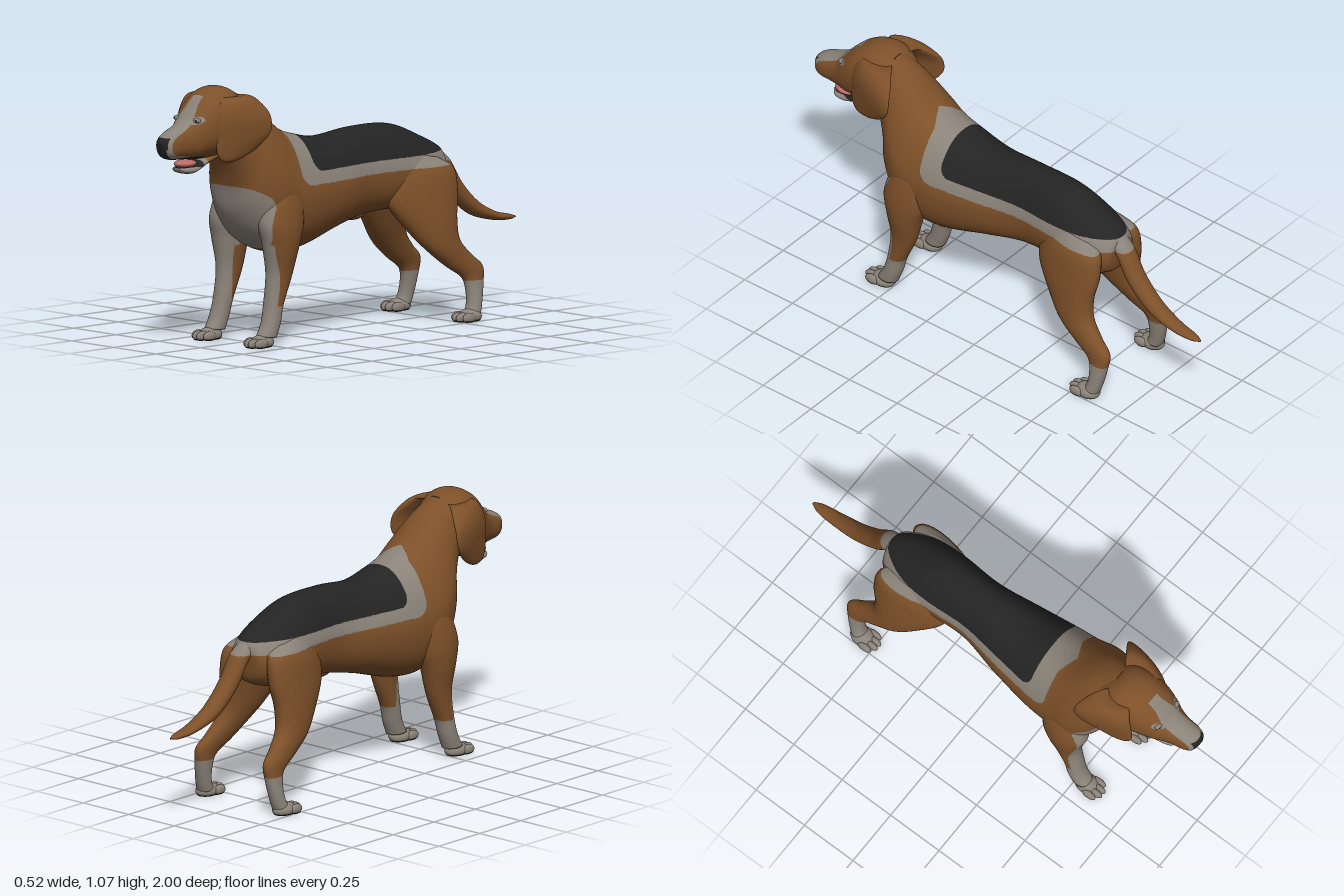
import * as THREE from 'three';

const material = (name, color) => {
  const m = new THREE.MeshStandardMaterial({ color });
  m.name = name;
  return m;
};
const tan = material('tan fur', 0x7d5029);
const pale = material('pale fur', 0x8b8379);
const black = material('black', 0x242424);
const pink = material('tongue pink', 0xb96a68);
const FUR = [tan, pale, black];
const TAN = 0, PALE = 1, BLACK = 2;

// Fur pattern of body, legs and tail
function coat(x, y, z) {
  const ax = Math.abs(x);
  if (y < 0.011) return BLACK; // soles
  if (y < 0.168) return PALE; // socks
  // saddle with rounded front corners, narrowing towards the tail
  const r = (z + 0.44) / 0.14;
  const half = z > -0.44 ? 1 : 0.118 * Math.sqrt(Math.max(0, 1 - r * r));
  if (Math.hypot(Math.max(0, z - 0.205), Math.max(0, 0.745 - y)) < 0.05 && ax < half) return BLACK;
  // pale border around the saddle, with a point on the nape
  const point = 0.04 * Math.max(0, 1 - ax / 0.08);
  if (Math.hypot(Math.max(0, z - 0.285 - point), Math.max(0, 0.705 - y)) < 0.06) return PALE;
  // bib and front of the forelegs
  const bib = (ax / 0.188) ** 4 + (Math.abs(y - 0.52) / 0.135) ** 4 < 1;
  if (bib && z > 0.445 + 0.3 * Math.max(0, y - 0.4)) return PALE;
  if (y < 0.42 && z > 0.472 && ax > 0.075 && ax < 0.188) return PALE;
  return TAN;
}

// Fur pattern of the head
const EYE_X = 0.0115, EYE_Y = 0.956, EYE_GAP = 0.058;
const faceCentre = (z) => THREE.MathUtils.mapLinear(z, 0.7, 1, 0, 0.026);
function face(x, y, z) {
  const d = Math.abs(x - faceCentre(z));
  if (z > 0.965 && y < 0.896 && d < (y > 0.85 ? 0.034 : 0.026)) return BLACK; // nose
  if (z > 0.79 && y < 0.808) return BLACK; // lips
  const eye = Math.hypot((Math.abs(x - EYE_X) - EYE_GAP) / 0.024, (y - EYE_Y) / 0.016);
  if (z > 0.78 && eye < 1) return PALE; // rims of the eyes
  const half = 0.028 + 0.018 * THREE.MathUtils.smoothstep(z, 0.78, 0.86);
  return z > 0.765 && d < half && y > 0.8 ? PALE : TAN;
}

const jawCoat = (x, y, z) => (z > 0.79 && y > 0.763 ? BLACK : z > 0.77 ? PALE : TAN);

// Sorts the faces into one material group per colour, splitting those that straddle a colour edge
function paint(geometry, pattern) {
  const { position, normal } = geometry.attributes;
  const buckets = FUR.map(() => []);
  const corner = (i) => [position, normal].flatMap((a) => [a.getX(i), a.getY(i), a.getZ(i)]);
  const middle = (a, b) => a.map((v, i) => (v + b[i]) / 2);
  const place = (a, b, c, depth) => {
    const colours = [a, b, c].map((v) => pattern(v[0], v[1], v[2]));
    if (depth && (colours[0] !== colours[1] || colours[0] !== colours[2])) {
      const ab = middle(a, b), bc = middle(b, c), ca = middle(c, a);
      for (const t of [[a, ab, ca], [ab, b, bc], [ca, bc, c], [ab, bc, ca]]) place(...t, depth - 1);
    } else {
      buckets[pattern(...[0, 1, 2].map((i) => (a[i] + b[i] + c[i]) / 3))].push(a, b, c);
    }
  };
  const index = geometry.index.array;
  for (let i = 0; i < index.length; i += 3) {
    place(corner(index[i]), corner(index[i + 1]), corner(index[i + 2]), 2);
  }
  const painted = new THREE.BufferGeometry();
  const corners = buckets.flat();
  painted.setAttribute('position', new THREE.Float32BufferAttribute(corners.flatMap((v) => v.slice(0, 3)), 3));
  painted.setAttribute('normal', new THREE.Float32BufferAttribute(corners.flatMap((v) => v.slice(3)), 3));
  let start = 0;
  buckets.forEach((b, i) => {
    if (b.length) painted.addGroup(start, b.length, i);
    start += b.length;
  });
  return painted;
}

// Smooth skin over rings [zA, yA, zB, yB, x, halfWidth, xSkew]; A and B are opposite ends of a ring
function loft(rings, steps, sides, power = 0.9, side = 1, taper = 0) {
  const data = new Float32Array(rings.flatMap((r) => [...r.slice(0, 4), r[4] * side, r[5], (r[6] || 0) * side]));
  const spline = new THREE.CubicInterpolant(rings.map((_, i) => i), data, 7);
  const pos = [], index = [];
  const bend = (v) => Math.sign(v) * Math.abs(v) ** power;
  for (let i = 0; i <= steps; i++) {
    const [az, ay, bz, by, x, w, skew] = spline.evaluate((i / steps) * (rings.length - 1));
    for (let j = 0; j < sides; j++) {
      const a = (j / sides) * Math.PI * 2, c = bend(Math.cos(a));
      const s = bend(Math.sin(a)) * (1 - taper * Math.max(0, c));
      pos.push(x + s * w + c * skew, (ay + by) / 2 + (c * (ay - by)) / 2, (az + bz) / 2 + (c * (az - bz)) / 2);
    }
  }
  for (let i = 0; i < steps; i++) {
    for (let j = 0; j < sides; j++) {
      const a = i * sides + j, b = i * sides + ((j + 1) % sides);
      index.push(a, a + sides, b, b, a + sides, b + sides);
    }
  }
  // end caps
  for (const [ring, flip] of [[0, false], [steps, true]]) {
    const [az, ay, bz, by, x] = spline.evaluate((ring / steps) * (rings.length - 1));
    const centre = pos.length / 3;
    pos.push(x, (ay + by) / 2, (az + bz) / 2);
    for (let j = 0; j < sides; j++) {
      const a = ring * sides + j, b = ring * sides + ((j + 1) % sides);
      index.push(centre, flip ? b : a, flip ? a : b);
    }
  }
  const g = new THREE.BufferGeometry();
  g.setAttribute('position', new THREE.Float32BufferAttribute(pos, 3));
  g.setIndex(index);
  g.computeVertexNormals();
  return g;
}

// Ellipsoid, flattened where it meets the ground
function blob(x, y, z, rx, ry, rz) {
  const g = new THREE.SphereGeometry(1, 24, 16).scale(rx, ry, rz).translate(x, y, z);
  const p = g.attributes.position;
  for (let i = 0; i < p.count; i++) p.setY(i, Math.max(0.004, p.getY(i)));
  return g;
}

const TORSO = [
  [-0.585, 0.685, -0.575, 0.61, 0, 0.035], [-0.555, 0.715, -0.55, 0.52, 0, 0.09],
  [-0.45, 0.765, -0.43, 0.48, 0, 0.135], [-0.3, 0.823, -0.28, 0.475, 0, 0.135],
  [-0.1, 0.83, -0.12, 0.465, 0, 0.127], [0.1, 0.812, 0.05, 0.43, 0, 0.162],
  [0.25, 0.84, 0.25, 0.372, 0, 0.188], [0.34, 0.87, 0.39, 0.365, 0, 0.195],
  [0.4, 0.91, 0.51, 0.43, 0, 0.197], [0.45, 0.955, 0.575, 0.54, 0, 0.176],
  [0.5, 0.998, 0.597, 0.66, 0, 0.147], [0.55, 1.03, 0.625, 0.745, 0, 0.125],
  [0.6, 1.055, 0.66, 0.8, 0, 0.11],
];
const HEAD = [
  [0.52, 0.99, 0.54, 0.87, -0.005, 0.075], [0.62, 1.066, 0.62, 0.81, -0.005, 0.118],
  [0.7, 1.075, 0.7, 0.79, 0, 0.122], [0.77, 1.045, 0.77, 0.79, 0.005, 0.109],
  [0.82, 0.998, 0.82, 0.79, 0.01, 0.092], [0.86, 0.955, 0.86, 0.795, 0.013, 0.074],
  [0.9, 0.936, 0.9, 0.798, 0.017, 0.062], [0.95, 0.918, 0.95, 0.802, 0.021, 0.055],
  [0.985, 0.898, 0.98, 0.815, 0.024, 0.041], [1, 0.875, 0.995, 0.848, 0.025, 0.016],
];
const JAW = [
  [0.69, 0.83, 0.69, 0.79, 0, 0.07], [0.77, 0.797, 0.76, 0.765, 0.005, 0.06],
  [0.83, 0.77, 0.83, 0.736, 0.012, 0.052], [0.88, 0.767, 0.88, 0.739, 0.018, 0.044],
  [0.905, 0.763, 0.903, 0.752, 0.02, 0.02],
];
const EAR = [
  [0.69, 1.035, 0.6, 1.035, 0.05, 0.025], [0.72, 1.038, 0.565, 1.038, 0.094, 0.034, -0.008],
  [0.74, 1, 0.535, 1.005, 0.125, 0.034, -0.018], [0.755, 0.945, 0.515, 0.955, 0.146, 0.026, -0.03],
  [0.76, 0.88, 0.52, 0.89, 0.148, 0.02, -0.034], [0.755, 0.82, 0.57, 0.83, 0.137, 0.016, -0.022],
  [0.735, 0.786, 0.63, 0.792, 0.128, 0.012, -0.01], [0.7, 0.774, 0.67, 0.776, 0.123, 0.004],
];
const FORELEG = [
  [0.46, 0.72, 0.37, 0.7, 0.115, 0.045], [0.505, 0.62, 0.33, 0.6, 0.135, 0.066],
  [0.54, 0.51, 0.33, 0.49, 0.144, 0.075], [0.525, 0.42, 0.36, 0.4, 0.15, 0.066],
  [0.508, 0.3, 0.393, 0.28, 0.147, 0.048], [0.52, 0.18, 0.44, 0.17, 0.148, 0.042],
  [0.54, 0.1, 0.458, 0.1, 0.152, 0.04], [0.57, 0.045, 0.48, 0.04, 0.153, 0.039],
];
const HINDLEG = [
  [-0.29, 0.715, -0.49, 0.675, 0.075, 0.045, -0.012], [-0.235, 0.61, -0.55, 0.63, 0.1, 0.064, -0.02],
  [-0.225, 0.5, -0.556, 0.53, 0.114, 0.07, -0.022], [-0.31, 0.38, -0.537, 0.43, 0.14, 0.062, -0.01],
  [-0.385, 0.3, -0.545, 0.34, 0.16, 0.051], [-0.47, 0.232, -0.603, 0.272, 0.174, 0.038],
  [-0.545, 0.182, -0.655, 0.222, 0.185, 0.031], [-0.565, 0.13, -0.648, 0.15, 0.193, 0.031],
  [-0.563, 0.07, -0.63, 0.07, 0.202, 0.032], [-0.545, 0.035, -0.615, 0.025, 0.207, 0.035],
];
const TAIL = [
  [-0.52, 0.65, -0.55, 0.715, 0, 0.04], [-0.57, 0.61, -0.625, 0.65, 0.007, 0.046],
  [-0.63, 0.505, -0.69, 0.55, 0.013, 0.043], [-0.74, 0.408, -0.78, 0.46, 0.017, 0.039],
  [-0.87, 0.368, -0.88, 0.405, 0.02, 0.032], [-0.96, 0.361, -0.96, 0.385, 0.02, 0.022],
  [-1, 0.367, -1, 0.373, 0.02, 0.005],
];

export function createModel() {
  const dog = new THREE.Group();
  dog.name = 'dog';
  const add = (name, geometry, mat, parent = dog) => {
    const mesh = new THREE.Mesh(geometry, mat);
    mesh.name = name;
    parent.add(mesh);
  };
  const fur = (name, geometry, pattern = coat, parent = dog) => add(name, paint(geometry, pattern), FUR, parent);

  fur('torsoAndNeck', loft(TORSO, 130, 88, 0.84, 1, 0.22));
  fur('tail', loft(TAIL, 50, 28, 1));
  fur('sheath', blob(0, 0.47, -0.11, 0.026, 0.026, 0.065));

  // head
  const head = new THREE.Group();
  head.name = 'head';
  dog.add(head);
  fur('skullAndMuzzle', loft(HEAD, 80, 72, 0.86), face, head);
  fur('lowerJaw', loft(JAW, 36, 36, 0.86), jawCoat, head);
  add('tongue', blob(0.018, 0.777, 0.853, 0.041, 0.017, 0.052), pink, head);

  for (const s of [1, -1]) {
    const label = s > 0 ? 'left' : 'right';
    add(label + 'Ear', loft(EAR, 40, 40, 1, s).translate(-0.01, 0, 0), tan, head);
    const ex = EYE_X + s * EYE_GAP;
    add(label + 'Eye', blob(ex, EYE_Y, 0.836, 0.018, 0.011, 0.013), pale, head);
    add(label + 'Pupil', blob(ex + s * 0.005, EYE_Y, 0.844, 0.006, 0.006, 0.006), black, head);

    // legs, each with a paw of four toes
    for (const [kind, rings, px, pz] of [['Fore', FORELEG, 0.153, 0.55], ['Hind', HINDLEG, 0.21, -0.565]]) {
      const leg = new THREE.Group();
      leg.name = label + kind + 'leg';
      dog.add(leg);
      fur('leg', loft(rings, 60, 40, 0.95, s), coat, leg);
      fur('paw', blob(s * px, 0.022, pz, 0.043, 0.032, 0.055), coat, leg);
      for (const t of [-1.5, -0.5, 0.5, 1.5]) {
        const z = pz + 0.052 - (Math.abs(t) > 1 ? 0.017 : 0);
        fur('toe', blob(s * px + t * 0.023, 0.021, z, 0.0145, 0.022, 0.034), coat, leg);
      }
    }
  }
  return dog;
}
